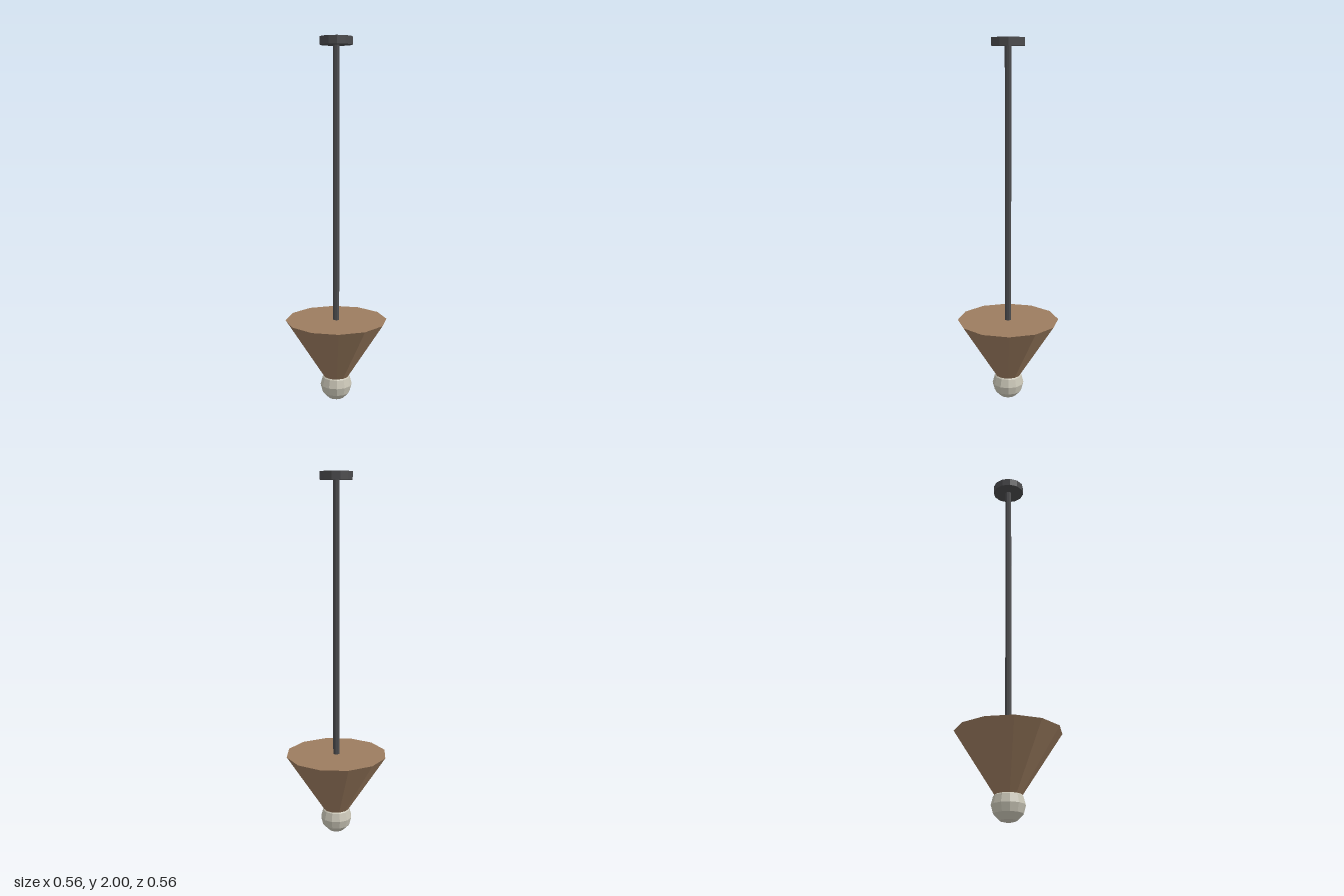
import * as THREE from 'three';

const SIDES = 12;

function part(name, geometry, color, y) {
  const material = new THREE.MeshStandardMaterial({ color, flatShading: true });
  const mesh = new THREE.Mesh(geometry, material);
  mesh.name = name;
  mesh.position.y = y;
  return mesh;
}

// Faceted round part between two heights
function round(name, rTop, rBottom, y0, y1, sides, color) {
  const geometry = new THREE.CylinderGeometry(rTop, rBottom, y1 - y0, sides);
  return part(name, geometry, color, (y0 + y1) / 2);
}

export function createModel() {
  const metal = 0x4b4b4d, wood = 0x9c7c5f, glass = 0xc9c5b6;
  const lamp = new THREE.Group();
  lamp.name = 'pendantLamp';

  lamp.add(
    round('ceilingPlate', 0.088, 0.088, 1.957, 2, SIDES, metal),
    round('rod', 0.018, 0.018, 0.44, 1.96, 8, metal),
    // Shade widens upward and is closed on top
    round('shade', 0.282, 0.07, 0.137, 0.463, SIDES, wood),
    // Bulb tucked into the narrow end of the shade
    part('bulb', new THREE.SphereGeometry(0.088, SIDES, 6), glass, 0.088),
  );
  return lamp;
}
